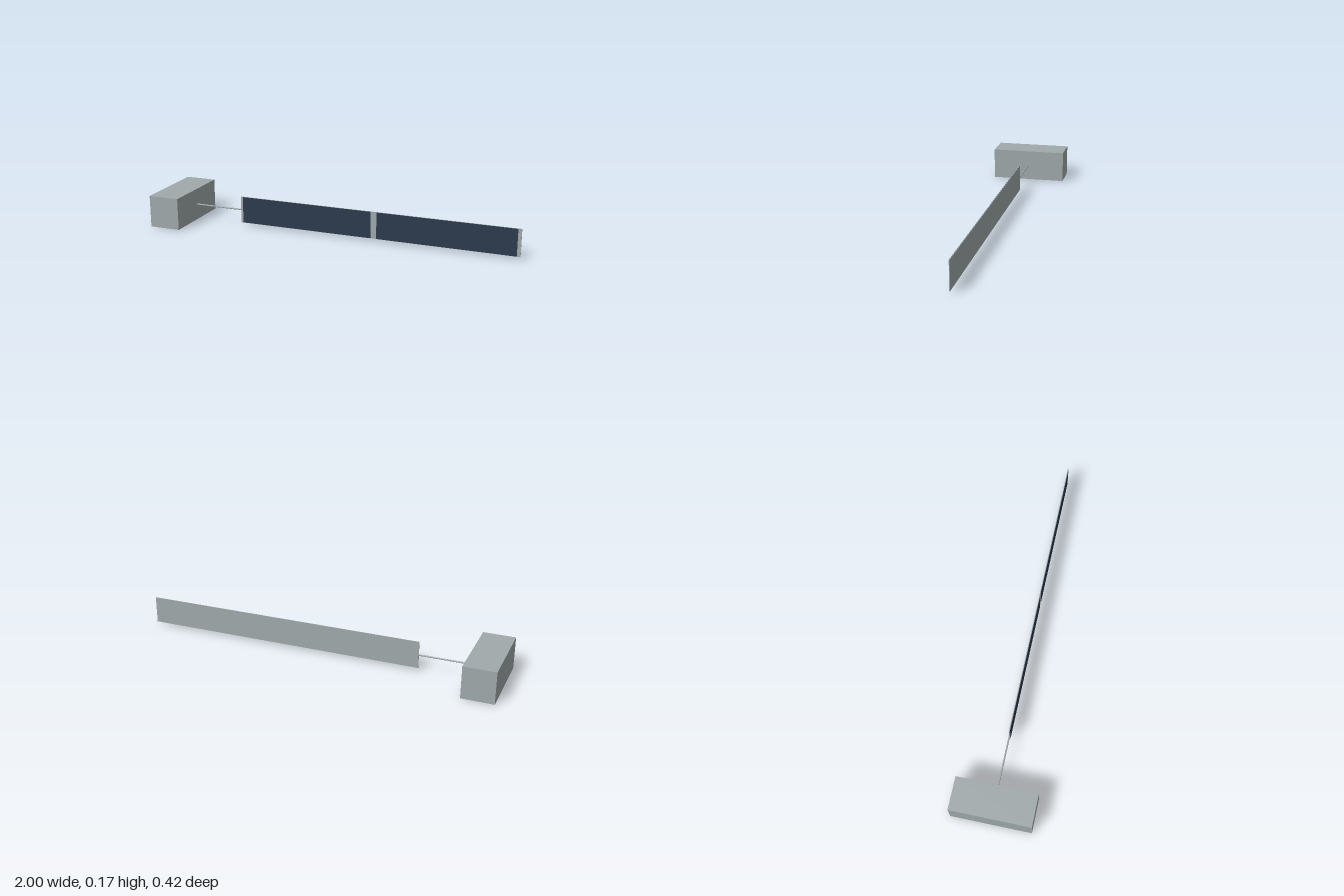
import * as THREE from 'three';

export function createModel() {
  const model = new THREE.Group();
  const grey = new THREE.MeshStandardMaterial({ color: 0xa0a9ab });
  grey.name = 'pale grey';
  const navy = new THREE.MeshStandardMaterial({ color: 0x2c3a4e });
  navy.name = 'dark blue';

  const midY = 0.088;

  const add = (name, geometry, material, x, y, z) => {
    const mesh = new THREE.Mesh(geometry, material);
    mesh.name = name;
    mesh.position.set(x, y, z);
    model.add(mesh);
    return mesh;
  };

  // Main body at the right end
  add('bodyBox', new THREE.BoxGeometry(0.172, 0.175, 0.424), grey, -0.914, midY, 0);

  // Thin rod from the body to the panel
  const rod = add('connectingRod', new THREE.CylinderGeometry(0.004, 0.004, 0.278, 12), grey, -0.689, midY, 0);
  rod.rotation.z = Math.PI / 2;

  // Long backing plate
  add('panelBacking', new THREE.BoxGeometry(1.55, 0.148, 0.004), grey, 0.225, midY, -0.0005);

  // Two dark cell sheets on the front face, with grey gaps at the ends and middle
  for (const [name, x] of [['rightCellSheet', -0.166], ['leftCellSheet', 0.61]]) {
    add(name, new THREE.BoxGeometry(0.743, 0.146, 0.0015), navy, x, midY, 0.00225);
  }

  return model;
}
